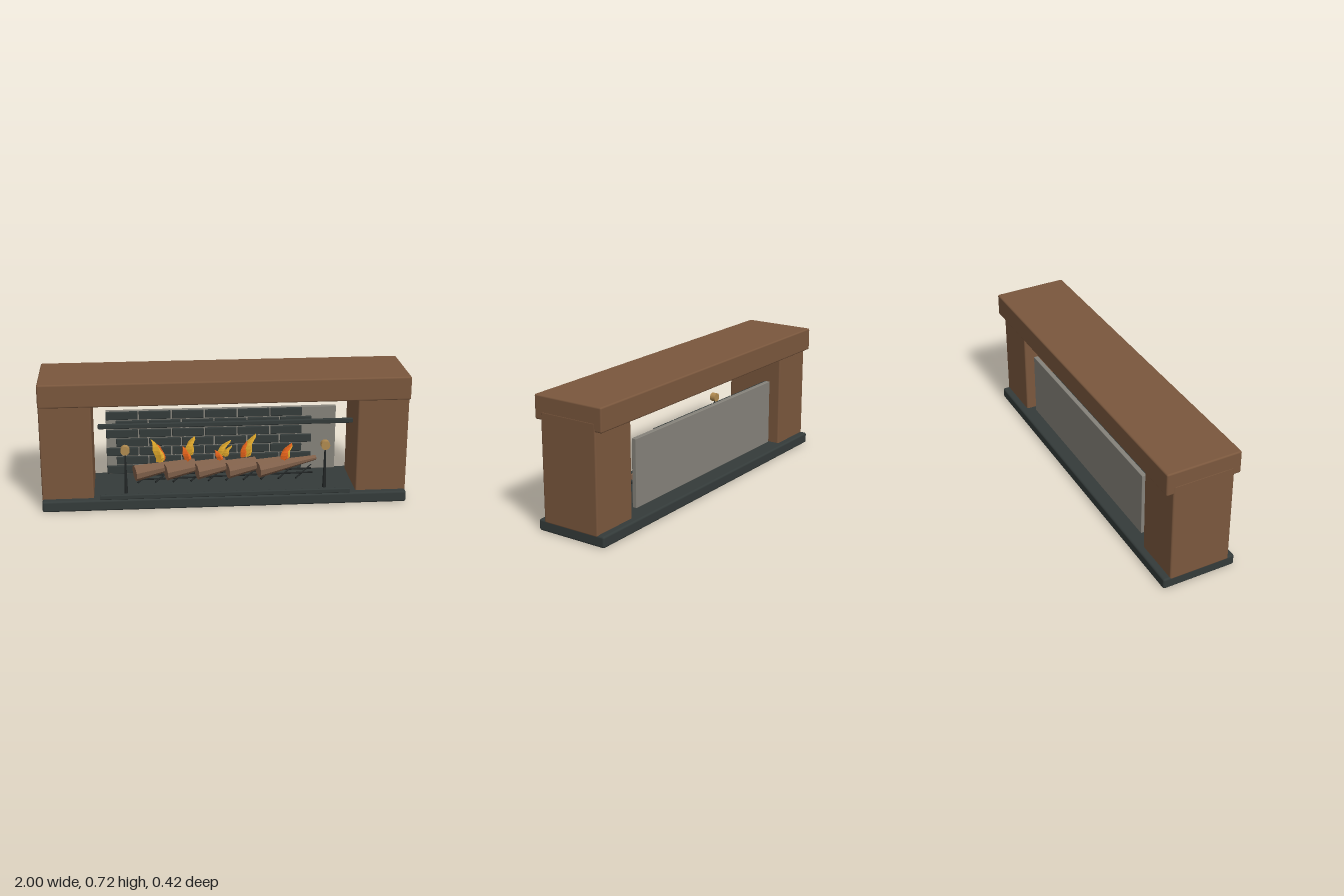
import * as THREE from 'three';
import { RoundedBoxGeometry } from 'three/addons/geometries/RoundedBoxGeometry.js';

const mat = (color, flatShading = false) => new THREE.MeshStandardMaterial({ color, flatShading });
const V = (x, y, z) => new THREE.Vector3(x, y, z);

export function createModel() {
  const group = new THREE.Group();
  const wood = mat(0x7a573d), stone = mat(0x343b3a), panelGrey = mat(0x85827a);
  const logWood = mat(0x80604a, true), iron = mat(0x222626), brass = mat(0xb08a50);
  const yellow = mat(0xe2aa2c, true), orange = mat(0xe8651c, true);

  function add(name, geometry, material, parent = group) {
    const mesh = new THREE.Mesh(geometry, material);
    mesh.name = name;
    parent.add(mesh);
    return mesh;
  }

  // Rounded block given by its minimum and maximum corners
  function block(name, a, b, radius, material, parent) {
    const size = b.map((v, i) => v - a[i]);
    const mesh = add(name, new RoundedBoxGeometry(...size, 2, radius), material, parent);
    mesh.position.set(...a.map((v, i) => (v + b[i]) / 2));
    return mesh;
  }

  // Tapered round bar between two points
  function bar(name, from, to, r0, r1, sides, material, parent) {
    const dir = to.clone().sub(from);
    const mesh = add(name, new THREE.CylinderGeometry(r1, r0, dir.length(), sides), material, parent);
    mesh.position.copy(from).addScaledVector(dir, 0.5);
    mesh.quaternion.setFromUnitVectors(V(0, 1, 0), dir.normalize());
    return mesh;
  }

  // Surround
  block('hearth', [-0.999, 0, -0.21], [0.999, 0.062, 0.21], 0.011, stone);
  block('mantel', [-0.999, 0.593, -0.21], [0.999, 0.722, 0.21], 0.009, wood);
  block('leftPillar', [0.72, 0.05, -0.172], [1, 0.64, 0.172], 0.009, wood);
  block('rightPillar', [-1, 0.05, -0.172], [-0.72, 0.64, 0.172], 0.009, wood);

  // Back panel with staggered brick rows
  block('backPanel', [-0.65, 0.085, -0.146], [0.65, 0.46, -0.12], 0.003, panelGrey);
  const bricks = new THREE.Group();
  bricks.name = 'bricks';
  group.add(bricks);
  for (let row = 0; row < 7; row++) {
    for (let i = 0; i < 6; i++) {
      const x = -0.65 + (row % 2) * 0.055 + i * 0.1855, y = 0.09 + row * 0.0535;
      block('brick', [x, y, -0.125], [x + 0.178, y + 0.047, -0.108], 0.004, stone, bricks);
    }
  }

  // Front rails
  block('lowerRail', [-0.685, 0.064, 0.193], [0.685, 0.09, 0.212], 0.005, stone);
  block('upperRail', [-0.685, 0.471, 0.193], [0.685, 0.497, 0.212], 0.005, stone);

  // Firedogs with round brass knobs
  for (const x of [-0.545, 0.545]) {
    bar('firedogPost', V(x, 0.088, 0.173), V(x, 0.32, 0.173), 0.011, 0.004, 10, iron);
    bar('firedogKnob', V(x, 0.336, 0.156), V(x, 0.336, 0.19), 0.025, 0.025, 16, brass);
  }

  // Grate of thin slanted bars under the logs
  const grate = new THREE.Group();
  grate.name = 'grate';
  group.add(grate);
  for (let i = 0; i < 10; i++) {
    const x = -0.48 + i * 0.098;
    bar('grateBar', V(x, 0.1, 0.06), V(x + 0.1, 0.14, -0.04), 0.006, 0.004, 6, iron, grate);
  }
  for (const z of [-0.02, 0.04]) {
    bar('grateRail', V(-0.48, 0.11, z), V(0.5, 0.125, z), 0.005, 0.005, 6, iron, grate);
  }

  // Row of tapered logs, each running behind the next
  for (let i = 0; i < 5; i++) {
    const x = -0.495 + i * 0.171;
    bar('log', V(x, 0.16, 0.07), V(x + 0.335, 0.19, -0.02), 0.046, 0.014, 9, logWood);
  }

  // Flame tongue: a fluted, tapered bulb whose axis sways sideways and twists
  function tongue(x, y, z, width, height, lean, material, parent) {
    const geometry = new THREE.CylinderGeometry(1, 1, 1, 8, 6);
    const p = geometry.attributes.position;
    for (let i = 0; i < p.count; i++) {
      const t = p.getY(i) + 0.5;
      const rim = Math.hypot(p.getX(i), p.getZ(i));
      const a = Math.atan2(p.getX(i), p.getZ(i));
      const flute = Math.cos(a * 4) > 0 ? 1 : 0.6;
      const r = rim * width * flute * (0.55 + 1.5 * t) * Math.pow(1 - t, 0.9);
      const twist = a + t * 1.2;
      const sway = lean * t * t + 0.12 * width * Math.sin(t * 9);
      p.setXYZ(i, Math.sin(twist) * r + sway, t * height, Math.cos(twist) * r * 0.75);
    }
    geometry.computeVertexNormals();
    add('flameTongue', geometry, material, parent).position.set(x, y, z);
  }

  // Fire: per flame a place, then tongues [dx, dy, dz, width, height, lean, material]
  const fires = [
    [-0.355, 0.02, [[0, 0, 0, 0.037, 0.135, -0.05, yellow], [0.015, 0, -0.02, 0.025, 0.1, -0.03, orange]]],
    [-0.19, -0.03, [[0, 0.015, 0, 0.036, 0.115, 0.03, yellow], [-0.01, -0.01, 0.025, 0.03, 0.09, -0.03, orange]]],
    [-0.01, -0.02, [[-0.005, 0.01, 0, 0.033, 0.095, 0.06, yellow], [-0.01, -0.005, 0.025, 0.027, 0.06, -0.03, orange],
      [0.025, 0.01, 0.01, 0.022, 0.065, 0.035, yellow]]],
    [0.13, -0.03, [[0.005, 0, 0, 0.037, 0.135, 0.05, yellow], [-0.018, 0, 0.015, 0.025, 0.095, 0.02, orange]]],
    [0.335, 0.03, [[0, -0.015, 0, 0.034, 0.11, 0.045, orange], [0.02, -0.005, -0.015, 0.025, 0.085, 0.03, yellow]]]
  ];
  for (const [x, z, tongues] of fires) {
    const flame = new THREE.Group();
    flame.name = 'flame';
    flame.position.set(x, 0.205, z);
    group.add(flame);
    for (const t of tongues) tongue(...t, flame);
  }

  return group;
}
